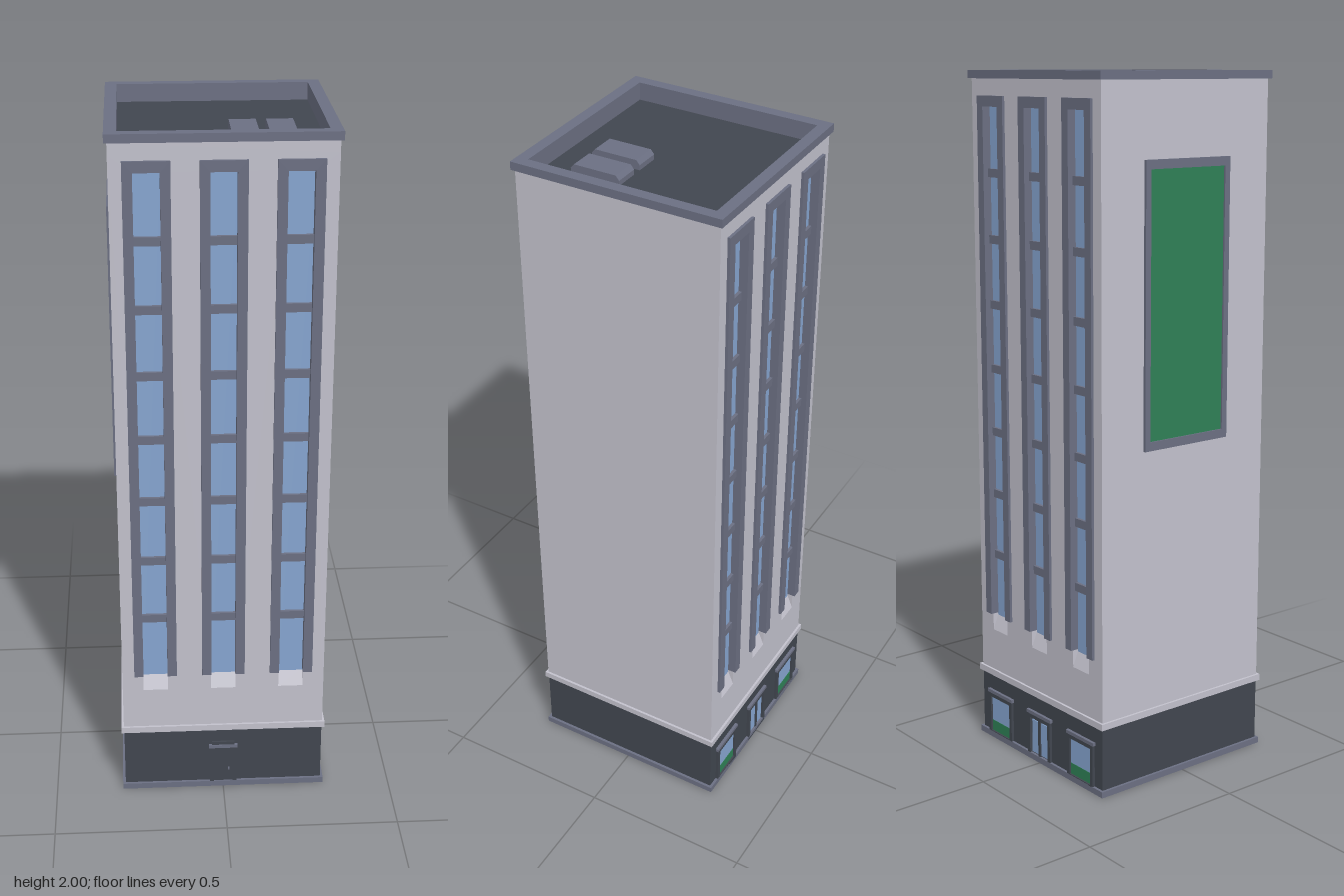
import * as THREE from 'three';

const mat = (name, color) => {
  const m = new THREE.MeshStandardMaterial({ color });
  m.name = name;
  return m;
};

export function createModel() {
  const wall = mat('pale wall', 0xc2c1cc);
  const dark = mat('charcoal', 0x41464f);
  const trim = mat('slate trim', 0x6b6f82);
  const glass = mat('blue glass', 0x86a5d0);
  const green = mat('green panel', 0x2f8056);

  const tower = new THREE.Group();
  tower.name = 'officeTower';

  const add = (parent, name, geo, material, x = 0, y = 0, z = 0) => {
    const m = new THREE.Mesh(geo, material);
    m.name = name;
    m.position.set(x, y, z);
    parent.add(m);
    return m;
  };
  // box given by its limits
  const box = (parent, name, material, x0, x1, y0, y1, z0, z1) =>
    add(parent, name, new THREE.BoxGeometry(x1 - x0, y1 - y0, z1 - z0), material,
      (x0 + x1) / 2, (y0 + y1) / 2, (z0 + z1) / 2);
  const rect = (P, x0, x1, y0, y1) => {
    const p = new P();
    p.moveTo(x0, y0); p.lineTo(x1, y0); p.lineTo(x1, y1); p.lineTo(x0, y1); p.closePath();
    return p;
  };
  const extrude = (shape, depth) => new THREE.ExtrudeGeometry(shape, { depth, bevelEnabled: false });
  const polygon = pts => new THREE.Shape(pts.map(p => new THREE.Vector2(...p)));
  // square horizontal ring from y0 to y1
  const ring = (name, material, outer, inner, y0, y1) => {
    const s = rect(THREE.Shape, -outer, outer, -outer, outer);
    s.holes.push(rect(THREE.Path, -inner, inner, -inner, inner));
    add(tower, name, extrude(s, y1 - y0).rotateX(-Math.PI / 2), material, 0, y0, 0);
  };

  // main volumes
  box(tower, 'groundFloor', dark, -0.294, 0.294, 0, 0.205, -0.294, 0.294);
  ring('plinth', trim, 0.302, 0.29, 0.002, 0.02);
  box(tower, 'beltCourse', wall, -0.302, 0.302, 0.204, 0.223, -0.302, 0.302);
  box(tower, 'towerCore', wall, -0.295, 0.295, 0.22, 1.945, -0.275, 0.275);

  // roof and parapet
  box(tower, 'roofDeck', dark, -0.275, 0.275, 1.944, 1.95, -0.275, 0.275);
  ring('parapetWall', wall, 0.295, 0.28, 1.945, 1.977);
  ring('parapetLining', trim, 0.281, 0.27, 1.945, 1.99);
  ring('parapetCap', trim, 0.303, 0.27, 1.977, 2);

  // rooftop units with sloping ends
  const unit = polygon([[-0.072, 0], [0.072, 0], [0.072, 0.014], [0.062, 0.026], [-0.062, 0.026], [-0.072, 0.014]]);
  for (const x of [0.061, 0.16])
    add(tower, 'roofUnit', extrude(unit, 0.072).translate(0, 0, -0.036).rotateY(Math.PI / 2), trim, x, 1.95, 0.121);

  // window facade, used on front and back
  const columns = [-0.198, 0, 0.198];
  const facade = name => {
    const g = new THREE.Group();
    g.name = name;
    const s = rect(THREE.Shape, -0.295, 0.295, 0.22, 1.945);
    for (const x of columns) s.holes.push(rect(THREE.Path, x - 0.036, x + 0.036, 0.35, 1.9));
    add(g, 'facadeWall', extrude(s, 0.021), wall, 0, 0, 0.274);

    const frame = polygon([[-0.062, 0.4], [-0.035, 0.4], [-0.035, 1.9], [0.035, 1.9],
      [0.035, 0.4], [0.062, 0.4], [0.062, 1.93], [-0.062, 1.93]]);
    const lining = polygon([[-0.0362, 0.4], [-0.035, 0.4], [-0.035, 1.9], [0.035, 1.9],
      [0.035, 0.4], [0.0362, 0.4], [0.0362, 1.901], [-0.0362, 1.901]]);
    const sill = polygon([[-0.275, 0.35], [-0.275, 0.4], [-0.2955, 0.35]]);
    for (const x of columns) {
      box(g, 'windowStrip', glass, x - 0.036, x + 0.036, 0.38, 1.9, 0.274, 0.278);
      add(g, 'windowFrame', extrude(frame, 0.008), trim, x, 0, 0.295);
      add(g, 'windowReveal', extrude(lining, 0.021), trim, x, 0, 0.275);
      add(g, 'slopingSill', extrude(sill, 0.072).translate(0, 0, -0.036).rotateY(Math.PI / 2), wall, x, 0, 0);
      for (let i = 0; i < 7; i++) {
        const y = 0.587 + i * 0.188;
        box(g, 'crossbar', trim, x - 0.035, x + 0.035, y - 0.012, y + 0.012, 0.276, 0.287);
      }
    }
    tower.add(g);
    return g;
  };

  // dark surround with a hood, for doors and shop windows
  const surround = (g, x, w, y0, top) => {
    const s = rect(THREE.Shape, -w, w, y0, top);
    s.holes.push(rect(THREE.Path, -w + 0.012, w - 0.012, y0 + 0.012, top - 0.014));
    add(g, 'openingSurround', extrude(s, 0.009), dark, x, 0, 0.293);
    box(g, 'openingHood', trim, x - w - 0.003, x + w + 0.003, top - 0.002, top + 0.008, 0.293, 0.303);
  };

  // front with a service door
  const front = facade('frontFacade');
  surround(front, 0, 0.04, 0.004, 0.142);
  box(front, 'doorLintel', dark, -0.034, 0.034, 0.149, 0.16, 0.293, 0.3);
  box(front, 'serviceDoor', dark, -0.03, 0.03, 0.006, 0.13, 0.293, 0.2985);
  box(front, 'doorHandle', trim, 0.014, 0.019, 0.06, 0.068, 0.298, 0.302);

  // back with shop windows and glazed double doors
  const back = facade('backFacade');
  back.rotation.y = Math.PI;
  for (const x of [-0.198, 0.198]) {
    surround(back, x, 0.06, 0.01, 0.146);
    box(back, 'shopGlass', glass, x - 0.049, x + 0.049, 0.055, 0.134, 0.293, 0.296);
    box(back, 'shopPanel', green, x - 0.049, x + 0.049, 0.021, 0.055, 0.293, 0.297);
  }
  surround(back, 0, 0.055, 0.004, 0.146);
  for (const x of [-0.022, 0.022])
    box(back, 'doorGlass', glass, x - 0.016, x + 0.016, 0.024, 0.126, 0.293, 0.297);
  box(back, 'doorMullion', dark, -0.005, 0.005, 0.01, 0.134, 0.293, 0.3);

  // billboard on the right side
  const board = new THREE.Group();
  board.name = 'billboard';
  const b = rect(THREE.Shape, -0.15, 0.15, 0.98, 1.77);
  b.holes.push(rect(THREE.Path, -0.132, 0.132, 1.005, 1.745));
  add(board, 'billboardFrame', extrude(b, 0.009), trim, 0, 0, 0.294);
  box(board, 'billboardPanel', green, -0.134, 0.134, 1, 1.75, 0.293, 0.298);
  board.rotation.y = -Math.PI / 2;
  tower.add(board);

  return tower;
}
